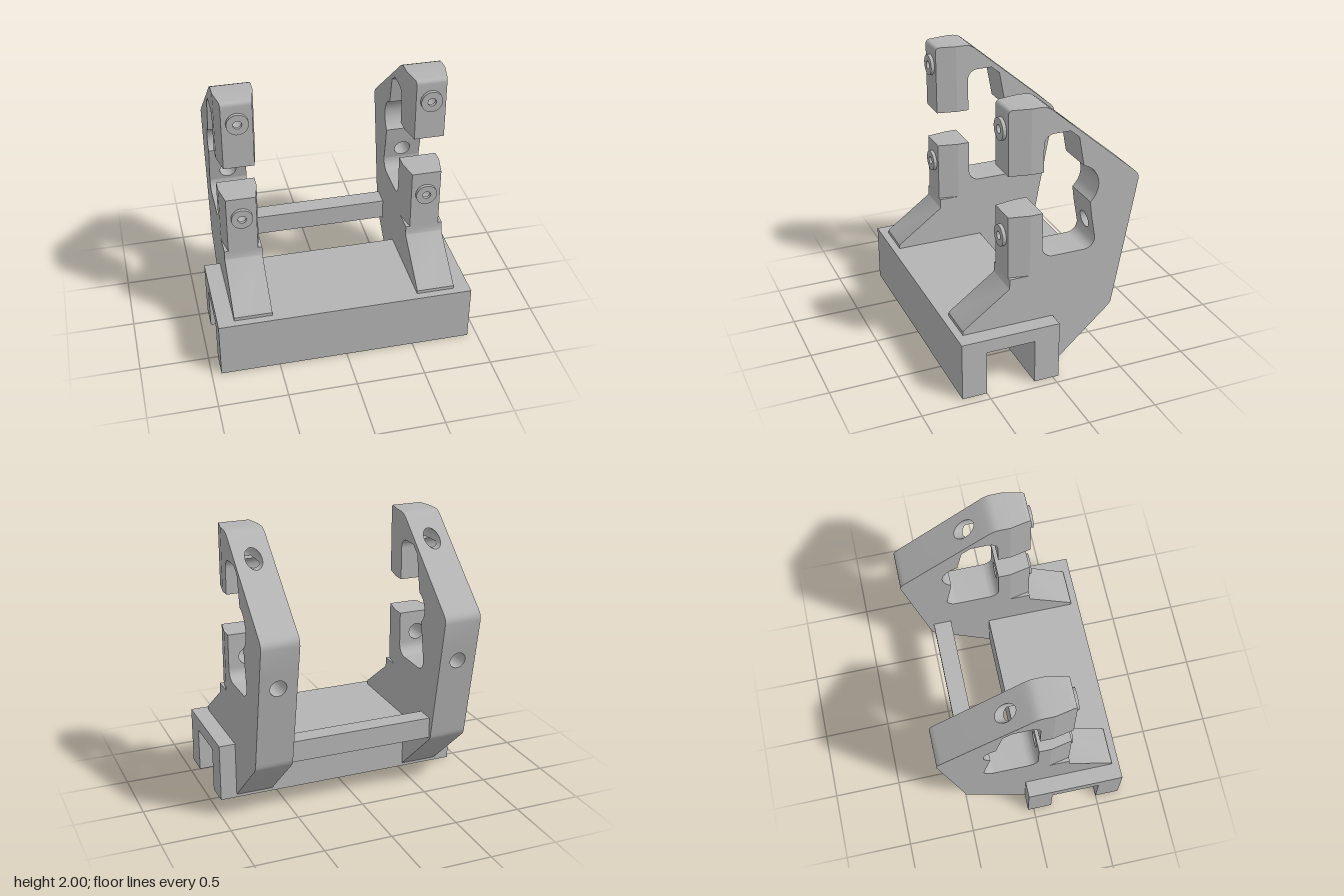
import * as THREE from 'three';
import { toCreasedNormals } from 'three/addons/utils/BufferGeometryUtils.js';

const W = 0.275, H = W / 2;          // arm width and half width
const ARM_X = 0.6725;
const BORE = 0.06, PIN = 0.03;       // bore and pin hole radii
const LOW = 1.065, HIGH = 1.84;      // heights of the two bores
const CUT = 0.985, TAPER_Z = 0.13;

const grey = new THREE.MeshStandardMaterial({ color: 0xb4b4b4 });
grey.name = 'machined grey';

// Sloping faces of the arm: z as a function of height
const rearLow = y => -0.5 - 0.186 * (y - 0.43);
const rearHigh = y => -0.02 - (1.968 - y) / 0.855;
const innerLow = y => -0.355 + 0.1786 * (y - CUT);
const innerCorner = y => -0.215 + (0.065 / 0.055) * (y - 1.75);

function arc(cx, cy, r, from, to, n = 12) {
  return Array.from({ length: n + 1 }, (_, i) => {
    const a = THREE.MathUtils.degToRad(from + (to - from) * i / n);
    return [cx + r * Math.cos(a), cy + r * Math.sin(a)];
  });
}

const shapeOf = pts => new THREE.Shape(pts.map(p => new THREE.Vector2(p[0], p[1])));

function rect(x0, y0, x1, y1, holes = []) {
  const s = shapeOf([[x0, y0], [x1, y0], [x1, y1], [x0, y1]]);
  for (const [x, y, r] of holes) s.holes.push(new THREE.Path().absarc(x, y, r, 0, Math.PI * 2, true));
  return s;
}

const extrude = (shape, depth) =>
  new THREE.ExtrudeGeometry(shape, { depth, bevelEnabled: false, curveSegments: 32 });

function add(parent, name, geometry) {
  const mesh = new THREE.Mesh(toCreasedNormals(geometry, 0.5), grey);
  mesh.name = name;
  parent.add(mesh);
  return mesh;
}

// Narrow the jaw towards its front face
function taper(geometry) {
  const p = geometry.attributes.position;
  for (let i = 0; i < p.count; i++) {
    const x = p.getX(i), inset = Math.max(0, p.getZ(i) - TAPER_Z) * 0.2;
    if (Math.abs(x) > 0.1) p.setX(i, x - Math.sign(x) * inset);
  }
  return geometry;
}

// Side profile of [z, y] points, extruded across the arm
const panel = pts => extrude(shapeOf(pts), W).rotateY(-Math.PI / 2).translate(H, 0, 0);

// Cross-section in x and y, stretched in z between two sloping faces
function slab(shape, back, front) {
  const g = extrude(shape, 1), p = g.attributes.position;
  for (let i = 0; i < p.count; i++) {
    p.setZ(i, p.getZ(i) < 0.5 ? back(p.getY(i)) : front(p.getY(i)));
  }
  return g;
}

const at = z => () => z;

function bushing(parent, name) {
  const ring = new THREE.Shape().absarc(0, 0, 0.077, 0, Math.PI * 2);
  ring.holes.push(new THREE.Path().absarc(0, 0, PIN, 0, Math.PI * 2, true));
  return add(parent, name, extrude(ring, 0.025));
}

function makeArm(name, seat, jawLow, jawHigh) {
  const arm = new THREE.Group();
  arm.name = name;

  // Foot and lower body, with the rounded floor of the opening
  add(arm, 'lowerBody', panel([
    [0.625, 0.43], [0.625, 0.455], [0.615, 0.468], [0.285, 0.71], [0.28, 0.72], [0.28, 0.785],
    [TAPER_Z, 0.785], [TAPER_Z, CUT],
    ...arc(-0.04, CUT, 0.08, 0, -90), ...arc(-0.275, CUT, 0.08, -90, -180),
    [rearLow(CUT), CUT], [-0.507, 0.47], [-0.502, 0.44], [-0.485, 0.415],
    [-0.045, 0.022], [-0.045, 0.43]]));
  add(arm, 'lowerJawRoot', taper(panel([
    [0.28, 0.785], [0.28, CUT], [TAPER_Z, CUT], [TAPER_Z, 0.785]])));

  // Bored jaws, straight at the back and tapered at the front
  for (const [part, y0, y1, yHole] of [['lowerJaw', CUT, jawLow, LOW], ['upperJaw', jawHigh, 1.92, HIGH]]) {
    const section = rect(-H, y0, H, y1, [[0, yHole, BORE]]);
    add(arm, part + 'Back', slab(section, at(0.04), at(TAPER_Z)));
    add(arm, part + 'Front', taper(slab(section, at(TAPER_Z), at(0.28))));
    bushing(arm, part + 'Bushing').position.set(0, yHole, 0.28);
  }

  // Rear leg: bored section, then the curved seat and outer bend
  add(arm, 'boredLeg', slab(rect(-H, CUT, H, 1.15, [[0, LOW, BORE]]), rearLow, innerLow));
  add(arm, 'seatLeg', panel([
    [innerLow(1.15), 1.15], ...arc(...seat, 24), [-0.215, 1.75], [rearHigh(1.75), 1.75],
    [-0.635, 1.443], [-0.66, 1.42], [-0.673, 1.395], [-0.674, 1.365], [rearLow(1.15), 1.15]]));

  // Roof of the opening, split along the bore that breaks into it
  const split = 1.805;
  add(arm, 'roofLower', slab(shapeOf([
    [-H, 1.75], [H, 1.75], [H, split], ...arc(0, HIGH, BORE, -35.7, -144.3), [-H, split]]),
  rearHigh, innerCorner));
  add(arm, 'roofUpper', slab(shapeOf([
    [-H, split], ...arc(0, HIGH, BORE, 215.7, -35.7, 24), [H, split], [H, 1.92], [-H, 1.92]]),
  rearHigh, at(0.04)));
  add(arm, 'roofFillet', panel([[0.04, split], ...arc(-0.035, 1.73, 0.075, 0, 90)]));

  // Rounded top
  add(arm, 'topBack', panel([
    [TAPER_Z, 1.92], [TAPER_Z, 2], [0.055, 2], [0.03, 1.996], [0.008, 1.987], [-0.02, 1.968],
    [rearHigh(1.92), 1.92]]));
  add(arm, 'topFront', taper(panel([
    [0.28, 1.92], ...arc(0.25, 1.97, 0.03, 0, 90, 6), [TAPER_Z, 2], [TAPER_Z, 1.92]])));
  return arm;
}

function box(parent, name, x, y0, y1, z0, z1) {
  add(parent, name, new THREE.BoxGeometry(2 * x, y1 - y0, z1 - z0)
    .translate(0, (y0 + y1) / 2, (z0 + z1) / 2));
}

export function createModel() {
  const model = new THREE.Group();
  model.name = 'clampBracket';

  // Channel base with screw holes in the undersides of its walls
  const base = new THREE.Group();
  base.name = 'base';
  model.add(base);
  box(base, 'basePlate', 0.93, 0.33, 0.43, -0.045, 0.68);
  for (const [name, z0, z1] of [['frontWall', 0.5, 0.68], ['backWall', -0.045, 0.14]]) {
    const zc = (z0 + z1) / 2;
    const wall = rect(-0.93, -z1, 0.93, -z0, [[-ARM_X, -zc, PIN], [ARM_X, -zc, PIN]]);
    add(base, name, extrude(wall, 0.33).rotateX(-Math.PI / 2));
  }
  for (const x of [-ARM_X, ARM_X]) {
    const boss = bushing(base, 'underBoss');
    boss.rotation.x = Math.PI / 2;
    boss.scale.set(0.65, 0.65, 0.8);
    boss.position.set(x, 0.33, 0.32);
  }

  // Cross bar between the arms
  box(model, 'crossBar', 0.535, 0.43, 0.585, -0.48, -0.345);

  // The two arms differ in seat radius and jaw opening
  const leftArm = makeArm('leftArm', [-0.21, 1.385, 0.16, 231, 106], 1.24, 1.54);
  const rightArm = makeArm('rightArm', [-0.235, 1.365, 0.117, 233.6, 104.6], 1.225, 1.49);
  leftArm.position.x = ARM_X;
  rightArm.position.x = -ARM_X;
  model.add(leftArm, rightArm);
  return model;
}
